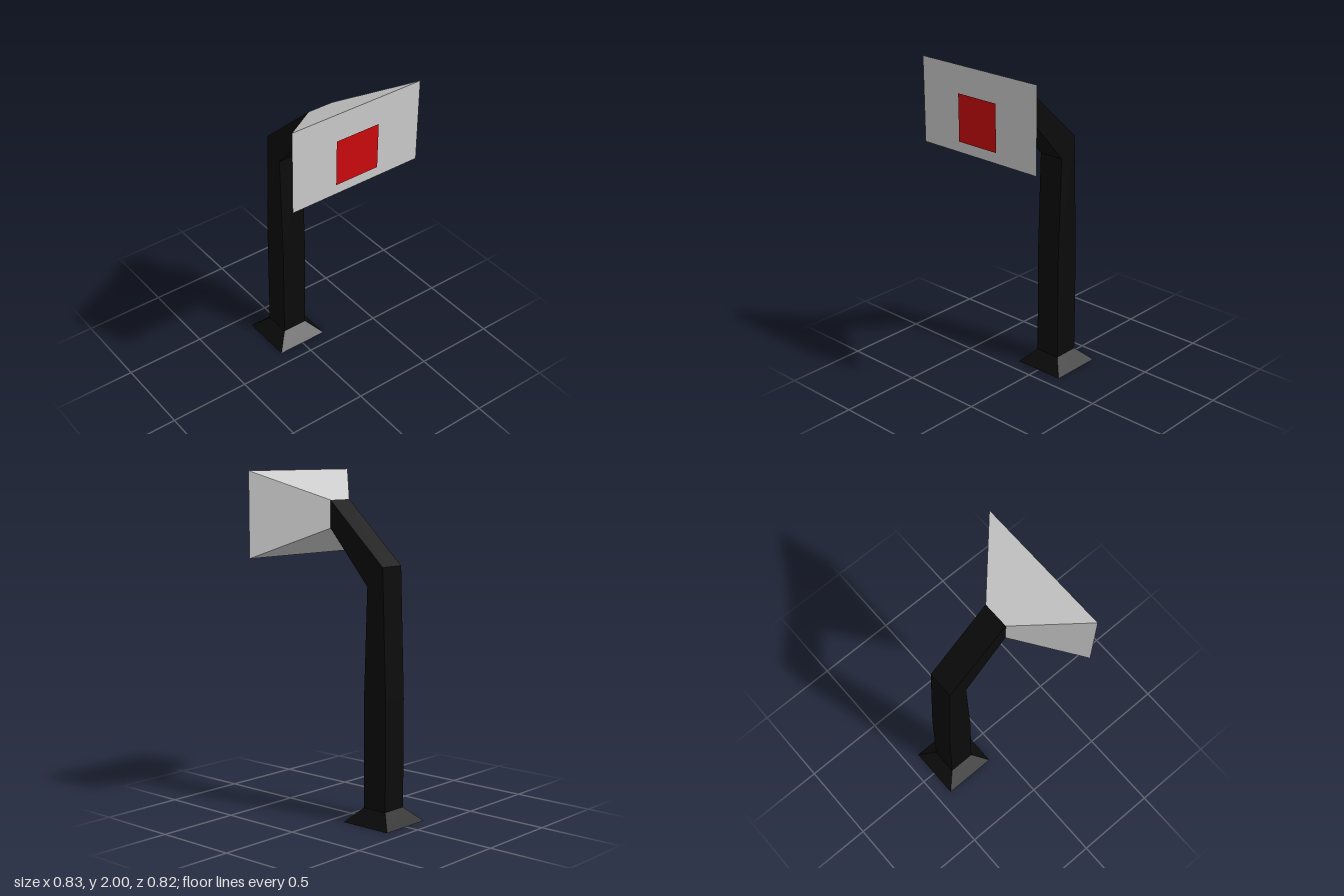
import * as THREE from 'three';

// Lofts four-cornered sections [halfWidth, frontY, frontZ, backY, backZ] into a closed solid
function loft(sections) {
  const rings = sections.map(([w, fy, fz, by, bz]) => [[w, fy, fz], [w, by, bz], [-w, by, bz], [-w, fy, fz]]);
  const pos = [];
  const quad = (a, b, c, d) => pos.push(...a, ...b, ...c, ...a, ...c, ...d);
  for (let s = 0; s < rings.length - 1; s++) {
    const lo = rings[s], hi = rings[s + 1];
    for (let i = 0; i < 4; i++) {
      const j = (i + 1) % 4;
      quad(lo[i], lo[j], hi[j], hi[i]);
    }
  }
  const first = rings[0], last = rings[rings.length - 1];
  quad(first[3], first[2], first[1], first[0]);
  quad(...last);
  const geometry = new THREE.BufferGeometry();
  geometry.setAttribute('position', new THREE.Float32BufferAttribute(pos, 3));
  geometry.computeVertexNormals();
  return geometry;
}

export function createModel() {
  const model = new THREE.Group();
  model.name = 'basketballHoop';

  const add = (name, geometry, color) => {
    const material = new THREE.MeshStandardMaterial({ color, flatShading: true });
    const mesh = new THREE.Mesh(geometry, material);
    mesh.name = name;
    model.add(mesh);
    return mesh;
  };

  // Flared foot, square post and bent arm
  const armEnd = [0.08, 1.675, 0.087, 1.835, 0.087];
  add('post', loft([
    [0.163, 0, -0.086, 0, -0.412],
    [0.08, 0.083, -0.167, 0.083, -0.327],
    [0.08, 0.72, -0.167, 0.72, -0.327],
    [0.08, 1.36, -0.19, 1.475, -0.302],
    armEnd,
  ]), 0x0b0b0b);

  // Backboard widening forward from the arm's end
  add('backboard', loft([armEnd, [0.417, 1.505, 0.402, 2, 0.402]]), 0xcccccc);

  // Red target panel just ahead of the backboard
  const target = add('targetPanel', new THREE.PlaneGeometry(0.276, 0.274), 0xcc0a0e);
  target.material.side = THREE.DoubleSide;
  target.position.set(-0.003, 1.707, 0.411);

  return model;
}
